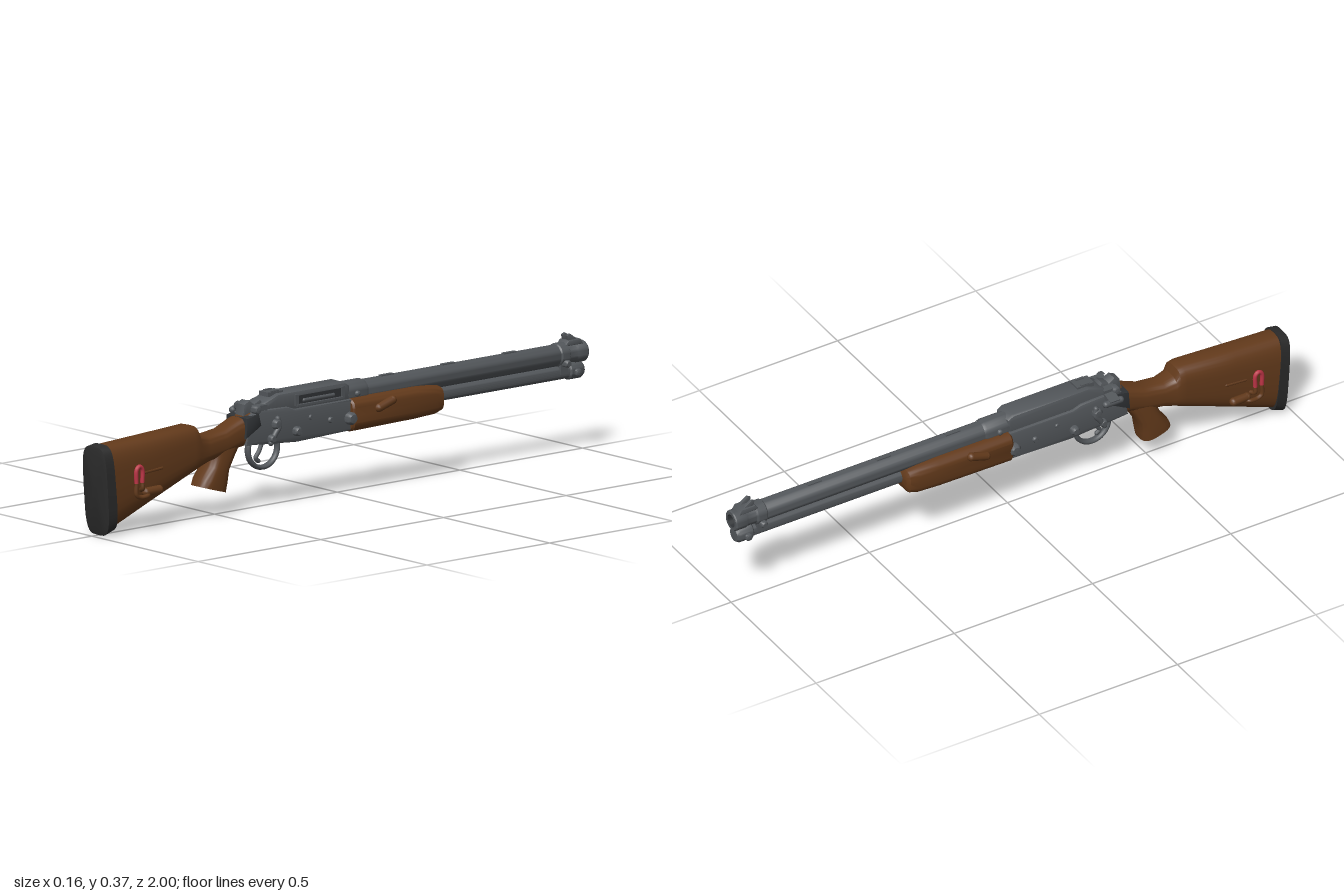
import * as THREE from 'three';
import { toCreasedNormals } from 'three/addons/utils/BufferGeometryUtils.js';

const mat = (name, color) => Object.assign(new THREE.MeshStandardMaterial({ color }), { name });

export function createModel() {
  const root = new THREE.Group();
  root.name = 'leverActionGun';
  const steel = mat('steel', 0x53575b), wood = mat('wood', 0x633a1b);
  const rubber = mat('rubber', 0x2b2b2b), red = mat('red', 0xbc3445), dark = mat('darkSteel', 0x303336);

  const add = (name, geo, material, x = 0, y = 0, z = 0) => {
    const m = new THREE.Mesh(geo, material);
    m.name = name;
    m.position.set(x, y, z);
    root.add(m);
    return m;
  };
  const box = (name, material, w, h, d, x, y, z) => add(name, new THREE.BoxGeometry(w, h, d), material, x, y, z);

  // Closed loft; each row is [topZ, topY, bottomZ, bottomY, halfWidth]
  const loft = (name, material, rows, power = 3, n = 32) => {
    const pos = [], idx = [];
    const sp = (v) => Math.sign(v) * Math.abs(v) ** (2 / power);
    for (const [zt, yt, zb, yb, w] of rows)
      for (let j = 0; j < n; j++) {
        const a = (j / n) * Math.PI * 2, v = sp(Math.sin(a)) / 2;
        pos.push(w * sp(Math.cos(a)), (yt + yb) / 2 + (yt - yb) * v, (zt + zb) / 2 + (zt - zb) * v);
      }
    const last = rows.length - 1;
    for (let i = 0; i < last; i++)
      for (let j = 0; j < n; j++) {
        const k = (j + 1) % n, a = i * n + j, b = i * n + k, c = a + n, d = b + n;
        idx.push(a, c, b, b, c, d);
      }
    for (const [i, flip] of [[0, false], [last, true]]) {
      const [zt, yt, zb, yb] = rows[i], centre = pos.length / 3;
      pos.push(0, (yt + yb) / 2, (zt + zb) / 2);
      for (let j = 0; j < n; j++) {
        const a = i * n + j, b = i * n + (j + 1) % n;
        idx.push(centre, flip ? b : a, flip ? a : b);
      }
    }
    const g = new THREE.BufferGeometry();
    g.setAttribute('position', new THREE.Float32BufferAttribute(pos, 3));
    g.setIndex(idx);
    add(name, toCreasedNormals(g, 0.7), material);
  };

  // Side profile of [z, y] points extruded across x with bevelled edges
  const plate = (name, material, pts, halfW, bevel, x = 0) => {
    const shape = new THREE.Shape(pts.map(([z, y]) => new THREE.Vector2(z, y)));
    const depth = 2 * (halfW - bevel);
    const g = new THREE.ExtrudeGeometry(shape, {
      depth, bevelEnabled: true, bevelThickness: bevel, bevelSize: bevel, bevelOffset: -bevel, bevelSegments: 2,
    });
    g.translate(0, 0, -depth / 2).rotateY(-Math.PI / 2);
    add(name, toCreasedNormals(g, 0.6), material, x);
  };

  // Turned part along -z; profile is [radius, distance toward the muzzle]
  const turned = (name, material, profile, y) => {
    const g = new THREE.LatheGeometry(profile.map(([r, d]) => new THREE.Vector2(r, d)), 28);
    add(name, toCreasedNormals(g.rotateX(-Math.PI / 2), 0.6), material, 0, y, 0);
  };

  // Round bar through a few points with domed ends
  const tube = (name, material, pts, r) => {
    const g = new THREE.TubeGeometry(new THREE.CatmullRomCurve3(pts.map((p) => new THREE.Vector3(...p))), 20, r, 10);
    add(name, g, material);
    for (const p of [pts[0], pts[pts.length - 1]]) add(name + 'End', new THREE.SphereGeometry(r, 10, 8), material, ...p);
  };

  const bothSides = (fn) => [1, -1].forEach(fn);

  // Domed screw heads, mirrored
  const stud = (name, material, z, y, r, outer, inner = 0.03) => bothSides((s) => {
    const len = outer - inner;
    const g = new THREE.LatheGeometry([[r, 0], [r, len * 0.75], [r * 0.7, len * 0.95], [0, len]]
      .map(([a, b]) => new THREE.Vector2(a, b)), 16).rotateZ(-s * Math.PI / 2);
    add(name, toCreasedNormals(g, 0.8), material, s * inner, y, z);
  });

  // Butt pad, stock and grip
  loft('buttPad', rubber, [
    [0.997, 0.27, 0.979, 0.018, 0.046], [0.993, 0.286, 0.974, 0.005, 0.057],
    [0.963, 0.291, 0.938, 0.018, 0.058],
  ], 4);
  loft('stock', wood, [
    [0.965, 0.288, 0.94, 0.024, 0.055], [0.8, 0.296, 0.79, 0.085, 0.054], [0.62, 0.305, 0.62, 0.152, 0.051],
    [0.6, 0.3, 0.6, 0.16, 0.05], [0.588, 0.275, 0.585, 0.166, 0.046], [0.55, 0.263, 0.55, 0.178, 0.042],
    [0.48, 0.272, 0.48, 0.19, 0.04], [0.43, 0.293, 0.43, 0.205, 0.042], [0.375, 0.312, 0.375, 0.212, 0.044],
  ], 3.2);
  loft('grip', wood, [
    [0.4, 0.235, 0.53, 0.235, 0.036], [0.435, 0.19, 0.53, 0.19, 0.041], [0.462, 0.145, 0.54, 0.162, 0.043],
    [0.468, 0.105, 0.568, 0.125, 0.045], [0.474, 0.074, 0.577, 0.104, 0.044],
  ], 3);

  // Wire loops and pegs on the stock
  bothSides((s) => {
    const x = s * 0.069;
    tube('loopTop', red, [[x, 0.165, 0.878], [x, 0.208, 0.877], [x, 0.217, 0.866], [x, 0.208, 0.855], [x, 0.165, 0.854]], 0.007);
    tube('loopBottom', wood, [[x, 0.165, 0.878], [x, 0.128, 0.877], [x, 0.119, 0.862], [x, 0.121, 0.83], [s * 0.05, 0.123, 0.82]], 0.007);
    tube('loopInnerLeg', wood, [[x, 0.165, 0.854], [x, 0.145, 0.853], [s * 0.05, 0.138, 0.845]], 0.007);
    tube('stockPeg', wood, [[s * 0.058, 0.13, 0.83], [s * 0.062, 0.132, 0.78]], 0.014);
    tube('stockRidge', wood, [[s * 0.05, 0.19, 0.83], [s * 0.05, 0.195, 0.76]], 0.006);
  });

  // Receiver: wide lower body and narrower upper body
  plate('receiverBody', steel, [
    [0.41, 0.215], [0.4, 0.3], [0.35, 0.318], [0.24, 0.314], [0.21, 0.303], [-0.02, 0.303],
    [-0.02, 0.204], [0.2, 0.198], [0.33, 0.208],
  ], 0.048, 0.008);
  plate('receiverTop', steel, [
    [0.36, 0.3], [0.33, 0.335], [0.27, 0.357], [0.0, 0.357], [-0.02, 0.345], [-0.02, 0.29],
  ], 0.038, 0.01);
  plate('receiverTang', dark, [[0.415, 0.235], [0.41, 0.3], [0.36, 0.31], [0.35, 0.27]], 0.0495, 0.004);
  // Loading port on the left side
  box('loadingPort', dark, 0.006, 0.026, 0.17, 0.0375, 0.329, 0.105);
  tube('portBolt', steel, [[0.038, 0.325, 0.17], [0.038, 0.325, 0.05]], 0.007);
  box('portLip', steel, 0.012, 0.006, 0.19, 0.04, 0.312, 0.105);
  for (const z of [0.2, 0.012]) box('portEnd', steel, 0.008, 0.036, 0.014, 0.039, 0.329, z);
  // Top sight base and front collar
  box('rearSightBase', steel, 0.042, 0.014, 0.06, 0, 0.356, 0.27);
  bothSides((s) => box('rearSightWing', steel, 0.008, 0.012, 0.03, s * 0.016, 0.36, 0.27));
  turned('barrelCollar', steel, [[0.03, 0.0], [0.037, 0.005], [0.037, 0.09], [0.033, 0.1]], 0.315);

  // Hammer group at the rear of the receiver
  plate('hammer', steel, [
    [0.4, 0.3], [0.395, 0.338], [0.375, 0.348], [0.355, 0.335], [0.33, 0.346], [0.31, 0.32], [0.33, 0.3],
  ], 0.02, 0.005);
  box('hammerBlock', steel, 0.09, 0.03, 0.045, 0, 0.318, 0.345);
  stud('hammerPivot', steel, 0.365, 0.322, 0.014, 0.056);
  const handle = box('sideHandle', steel, 0.05, 0.016, 0.035, -0.056, 0.312, 0.34);
  handle.rotation.z = 0.25;
  tube('sideHandleKnob', steel, [[-0.072, 0.304, 0.365], [-0.072, 0.304, 0.312]], 0.011);

  // Guard ring and trigger
  const guard = add('triggerGuard', new THREE.TorusGeometry(0.06, 0.008, 10, 36), steel, 0, 0.186, 0.305);
  guard.rotation.y = Math.PI / 2;
  guard.scale.z = 1.5;
  tube('trigger', steel, [[0, 0.21, 0.305], [0, 0.18, 0.318], [0, 0.158, 0.333], [0, 0.148, 0.322]], 0.007);

  // Side levers and screws
  bothSides((s) => tube('sideLever', steel, [
    [s * 0.052, 0.285, 0.288], [s * 0.056, 0.262, 0.285], [s * 0.056, 0.24, 0.3], [s * 0.054, 0.212, 0.317],
  ], 0.009));
  stud('leverPivot', steel, 0.292, 0.268, 0.017, 0.066);
  stud('leverStop', steel, 0.313, 0.225, 0.013, 0.068);
  stud('rearScrew', steel, 0.21, 0.235, 0.015, 0.07);
  stud('middleScrew', steel, 0.07, 0.25, 0.01, 0.058);
  stud('upperScrew', steel, 0.15, 0.27, 0.008, 0.054);
  stud('frontScrew', steel, -0.008, 0.245, 0.02, 0.072);
  stud('collarScrew', steel, -0.05, 0.315, 0.009, 0.046);

  // Barrel, bore and lower tube
  turned('barrel', steel, [
    [0.033, -0.02], [0.033, 0.9], [0.031, 0.905], [0.031, 0.955], [0.034, 0.96], [0.034, 0.996], [0.031, 1], [0.021, 1],
  ], 0.314);
  turned('bore', dark, [[0.021, 1], [0.019, 0.93], [0, 0.93]], 0.314);
  turned('magazineTube', steel, [[0.023, 0.3], [0.023, 0.93], [0.028, 0.935], [0.028, 0.98], [0.022, 0.99], [0, 0.992]], 0.258);
  box('barrelRib', dark, 0.016, 0.03, 0.58, 0, 0.284, -0.65);
  for (const z of [-0.2, -0.45, -0.7]) box('barrelTopPlate', steel, 0.014, 0.006, 0.05, 0, 0.347, z);

  // Band joining barrel and tube
  box('barrelBand', steel, 0.05, 0.06, 0.03, 0, 0.285, -0.905);
  turned('bandRing', steel, [[0.032, 0.885], [0.037, 0.89], [0.037, 0.92], [0.032, 0.925]], 0.314);
  stud('bandScrew', steel, -0.905, 0.29, 0.012, 0.05, 0.02);
  stud('capScrew', steel, -0.955, 0.255, 0.012, 0.04, 0.02);

  // Front sight with two prongs
  plate('frontSightBase', steel, [[-0.91, 0.34], [-0.925, 0.357], [-0.975, 0.357], [-0.985, 0.34]], 0.022, 0.003);
  bothSides((s) => plate('frontSightProng', steel, [
    [-0.93, 0.35], [-0.924, 0.372], [-0.936, 0.377], [-0.958, 0.362], [-0.965, 0.35],
  ], 0.005, 0.002, s * 0.011));

  // Fore-end and its pegs
  loft('foreEnd', wood, [
    [-0.014, 0.3, -0.014, 0.203, 0.058], [-0.02, 0.305, -0.02, 0.198, 0.063], [-0.28, 0.305, -0.28, 0.202, 0.064],
    [-0.35, 0.3, -0.36, 0.206, 0.062], [-0.385, 0.293, -0.385, 0.214, 0.058], [-0.394, 0.28, -0.394, 0.228, 0.048],
  ], 4);
  bothSides((s) => tube('foreEndPeg', wood, [[s * 0.062, 0.265, -0.115], [s * 0.064, 0.283, -0.17]], 0.014));

  return root;
}
